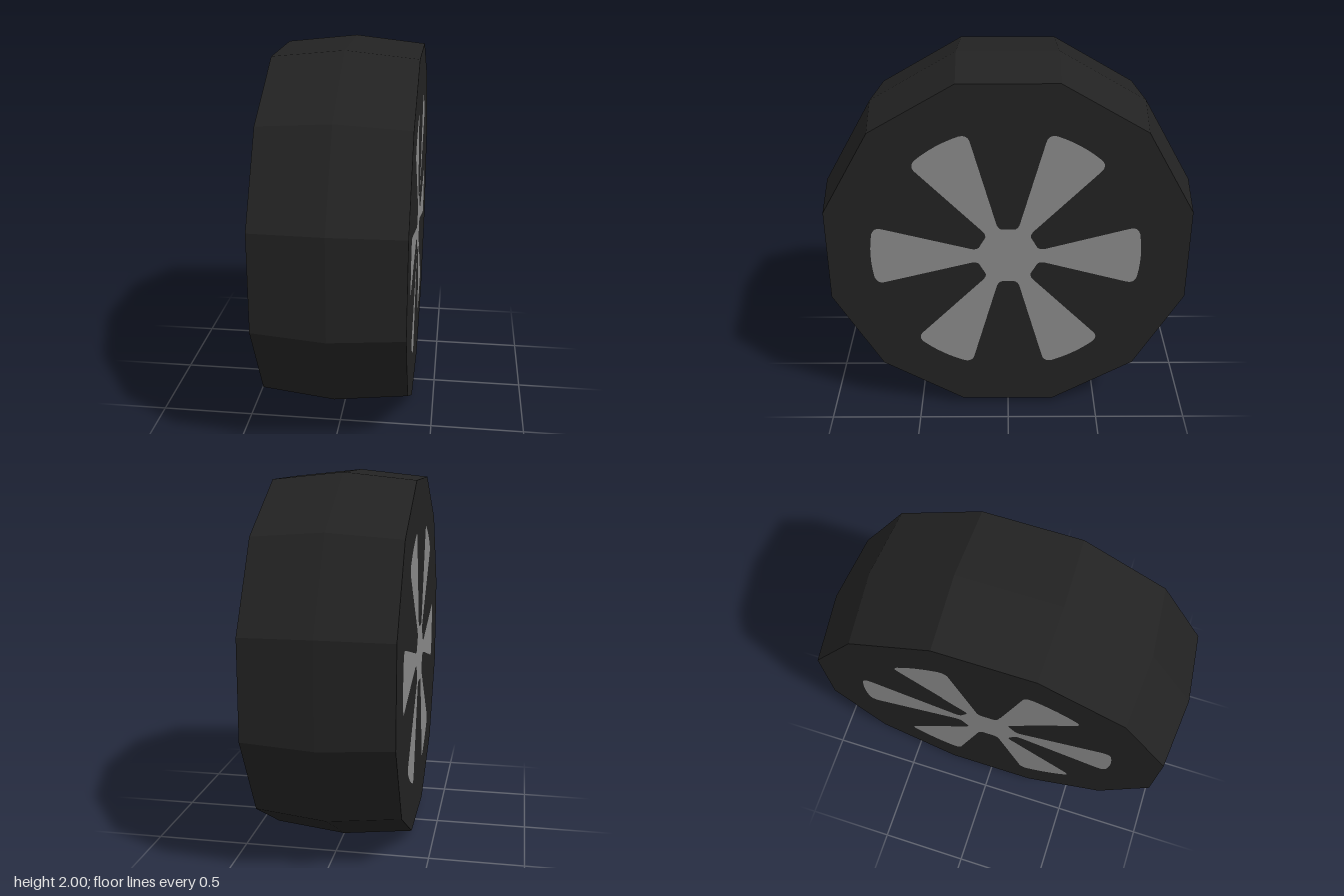
import * as THREE from 'three';

const WIDTH = 0.38; // half width of the wheel
const rubber = new THREE.MeshStandardMaterial({ color: 0x222222 });
rubber.name = 'black rubber';
const metal = new THREE.MeshStandardMaterial({ color: 0x888888 });
metal.name = 'grey metal';

// Outline of the hub with six flared spokes, drawn as one closed loop
function spokeShape() {
  const shape = new THREE.Shape();
  const reaches = [0.705, 0.73, 0.73, 0.73, 0.73, 0.73];
  reaches.forEach((reach, i) => {
    const a = i * Math.PI / 3, c = Math.cos(a), s = Math.sin(a);
    // along the spoke, across the spoke
    const p = (u, v) => [u * c - v * s, u * s + v * c];
    const curve = (u1, v1, u2, v2) => shape.quadraticCurveTo(...p(u1, v1), ...p(u2, v2));
    if (i === 0) shape.moveTo(...p(0.155, -0.05));
    else shape.lineTo(...p(0.155, -0.05));
    curve(0.168, -0.037, 0.195, -0.042);          // rounded neck
    shape.lineTo(...p(reach - 0.07, -0.162));
    curve(reach - 0.025, -0.175, reach - 0.012, -0.13);
    curve(reach + 0.012, 0, reach - 0.012, 0.13); // bowed tip
    curve(reach - 0.025, 0.175, reach - 0.07, 0.162);
    shape.lineTo(...p(0.195, 0.042));
    curve(0.168, 0.037, 0.155, 0.05);
  });
  shape.closePath();
  return shape;
}

export function createModel() {
  const wheel = new THREE.Group();
  wheel.name = 'wheel';

  // Twelve-sided tyre, slightly crowned along its middle, with closed sides
  const toCorner = 1 / Math.cos(Math.PI / 12);
  const profile = [[0, -WIDTH], [0.96, -WIDTH], [1, 0], [0.96, WIDTH], [0, WIDTH]]
    .map(([r, x]) => new THREE.Vector2(r * toCorner, x));
  const tyreGeometry = new THREE.LatheGeometry(profile, 12, Math.PI / 12).toNonIndexed();
  tyreGeometry.computeVertexNormals(); // flat facets
  tyreGeometry.rotateZ(-Math.PI / 2);
  const tyre = new THREE.Mesh(tyreGeometry, rubber);
  tyre.name = 'tyre';
  tyre.position.y = 1;
  wheel.add(tyre);

  // Thin spoke face on each side
  const spokes = new THREE.ShapeGeometry(spokeShape(), 6);
  for (const side of [1, -1]) {
    const face = new THREE.Mesh(spokes, metal);
    face.name = side > 0 ? 'leftSpokes' : 'rightSpokes';
    face.rotation.y = side * Math.PI / 2;
    face.position.set(side * (WIDTH + 0.002), 1, 0);
    wheel.add(face);
  }
  return wheel;
}
